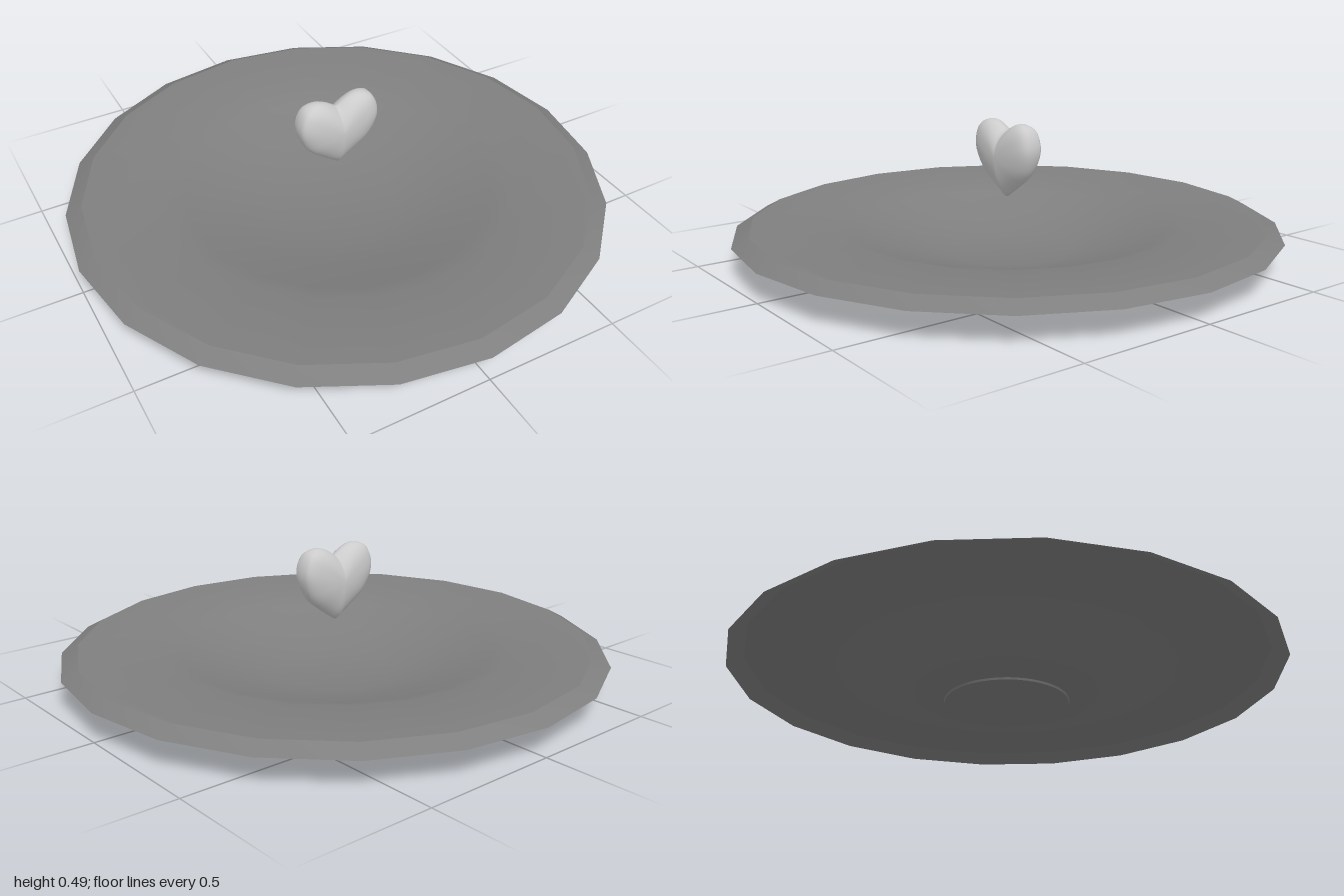
import * as THREE from 'three';
import { mergeVertices, toCreasedNormals } from 'three/addons/utils/BufferGeometryUtils.js';

const v2 = ([x, y]) => new THREE.Vector2(x, y);
const plateMaterial = new THREE.MeshStandardMaterial({ color: 0x7f7f7f, side: THREE.DoubleSide });
const heartMaterial = new THREE.MeshStandardMaterial({ color: 0xbebebe });

// Thin shallow plate: sloped outer lip, flat rim, rounded bowl (rim to centre)
function createPlate() {
  const profile = [
    [1, 0.1], [0.94, 0.132], [0.65, 0.125], [0.57, 0.1], [0.4, 0.05],
    [0.23, 0.01], [0, 0.008],
  ].map(v2);
  const geometry = toCreasedNormals(new THREE.LatheGeometry(profile, 20), 0.42);
  const plate = new THREE.Mesh(geometry, plateMaterial);
  plate.name = 'plate';
  return plate;
}

// Round foot under the bowl
function createFoot() {
  const foot = new THREE.Mesh(new THREE.CylinderGeometry(0.225, 0.222, 0.007, 48), plateMaterial);
  foot.position.y = 0.0035;
  foot.name = 'foot';
  return foot;
}

// Puffed heart: a sphere whose equator is reshaped to a heart outline
function createHeart() {
  const centreY = 0.36, halfDepth = 0.063;
  // Right half of the outline, from notch to tip
  const half = new THREE.SplineCurve([
    [0, 0.45], [0.045, 0.478], [0.09, 0.488], [0.135, 0.47], [0.157, 0.415],
    [0.152, 0.36], [0.121, 0.298], [0.062, 0.249], [0, 0.207],
  ].map(v2));
  let geometry = new THREE.SphereGeometry(1, 40, 20).rotateX(Math.PI / 2);
  const pos = geometry.attributes.position;
  for (let i = 0; i < pos.count; i++) {
    const x = pos.getX(i), y = pos.getY(i), z = pos.getZ(i);
    const scale = Math.hypot(x, y);
    const p = half.getPoint(Math.abs(Math.atan2(x, y)) / Math.PI);
    // Blunt towards the sides, tapered towards top and tip
    const sideways = scale > 1e-6 ? (x / scale) ** 2 : 0;
    const depth = Math.sign(z) * Math.abs(z) ** THREE.MathUtils.lerp(1.25, 0.5, sideways) * halfDepth;
    pos.setXYZ(i, Math.sign(x) * p.x * scale, centreY + (p.y - centreY) * scale, depth);
  }
  geometry.deleteAttribute('uv');
  geometry.deleteAttribute('normal');
  geometry = mergeVertices(geometry, 1e-5);
  geometry.computeVertexNormals();
  const heart = new THREE.Mesh(geometry, heartMaterial);
  heart.name = 'heart';
  return heart;
}

export function createModel() {
  const model = new THREE.Group();
  model.name = 'plateWithHeart';
  model.add(createPlate(), createFoot(), createHeart());
  return model;
}
